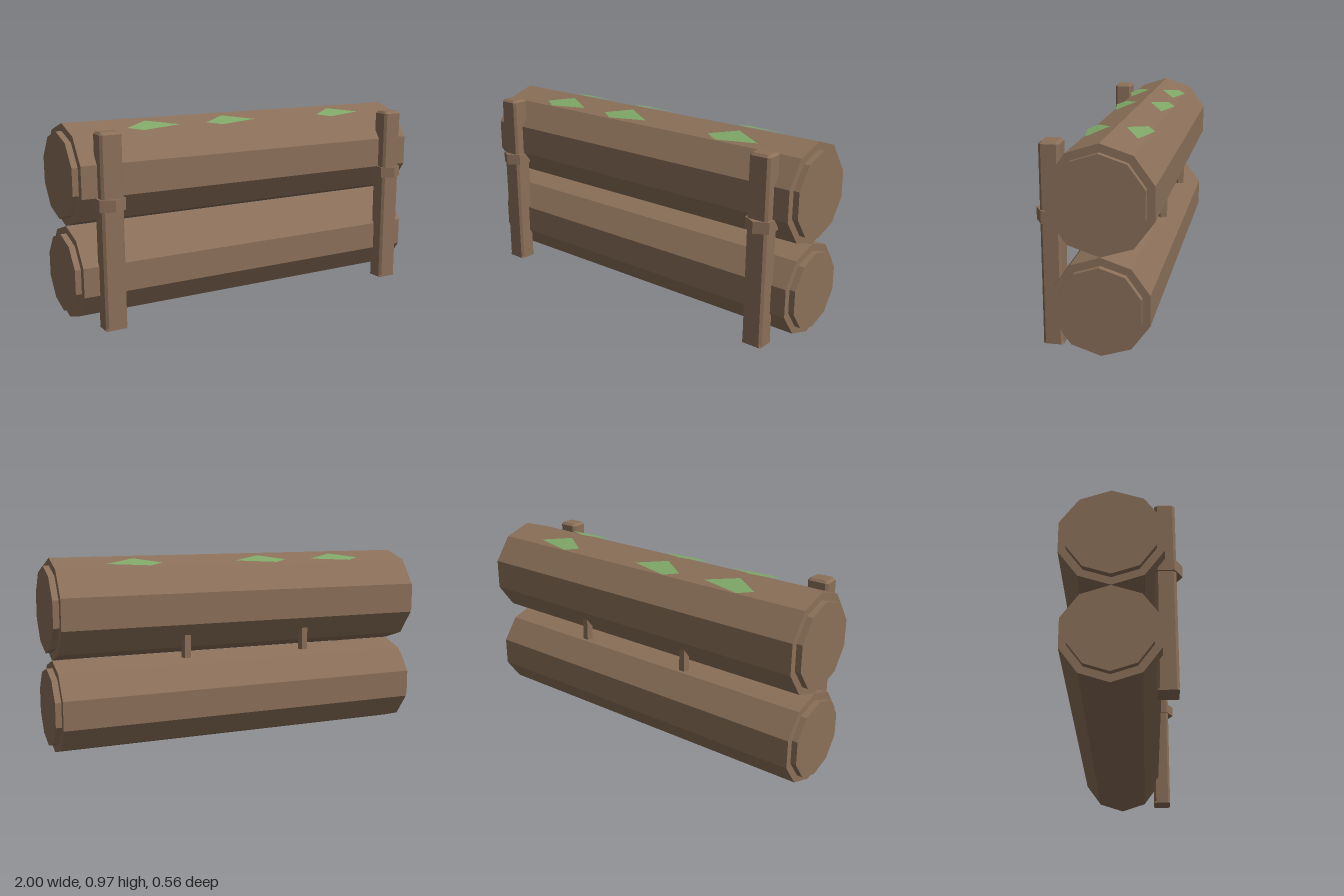
import * as THREE from 'three';

const wood = new THREE.MeshStandardMaterial({ color: 0x8b7059 });
wood.name = 'wood';
const leafGreen = new THREE.MeshStandardMaterial({ color: 0x80a868, side: THREE.DoubleSide });
leafGreen.name = 'leaf green';

// Faceted normals for a low-poly look
function facet(geometry) {
  const flat = geometry.index ? geometry.toNonIndexed() : geometry;
  flat.computeVertexNormals();
  return flat;
}

function addMesh(parent, name, geometry, material, x = 0, y = 0, z = 0) {
  const mesh = new THREE.Mesh(facet(geometry), material);
  mesh.name = name;
  mesh.position.set(x, y, z);
  parent.add(mesh);
  return mesh;
}

// Ten-sided bar lying along x with a ridge on top
function logBar(radius, length) {
  return new THREE.CylinderGeometry(radius, radius, length, 10)
    .rotateY(Math.PI / 2)
    .rotateZ(Math.PI / 2);
}

// Upright post with chamfered corners, a bevelled top and a square foot
function postGeometry(width, depth, height, bevel) {
  const w = width / 2, d = depth / 2, c = bevel;
  const outline = new THREE.Shape([
    [w, c - d], [w, d - c], [w - c, d], [c - w, d],
    [-w, d - c], [-w, c - d], [c - w, -d], [w - c, -d],
  ].map(([x, y]) => new THREE.Vector2(x, y)));
  const geometry = new THREE.ExtrudeGeometry(outline, {
    depth: height - 2 * bevel, bevelEnabled: true, bevelSegments: 1,
    bevelSize: bevel, bevelThickness: bevel, bevelOffset: -bevel,
  });
  geometry.translate(0, 0, bevel).rotateX(-Math.PI / 2);
  const p = geometry.attributes.position;
  for (let i = 0; i < p.count; i++) {
    if (p.getY(i) < bevel / 2) {
      p.setX(i, p.getX(i) * w / (w - bevel));
      p.setZ(i, p.getZ(i) * d / (d - bevel));
    }
  }
  return geometry;
}

// Kite-shaped leaf lying on one slope beside the ridge; side is +1 front, -1 back
function leafGeometry(side) {
  const corners = [[-0.13, 0.12], [-0.06, 0.162], [0.155, 0.12], [0, 0.04]]
    .map(([x, d]) => [x, -0.24 * d, side * d]);
  const order = side > 0 ? [0, 1, 2, 0, 2, 3] : [0, 2, 1, 0, 3, 2];
  const geometry = new THREE.BufferGeometry();
  geometry.setAttribute('position',
    new THREE.Float32BufferAttribute(order.flatMap((i) => corners[i]), 3));
  return geometry;
}

export function createModel() {
  const model = new THREE.Group();
  model.name = 'logFence';
  const logZ = -0.04;

  // Two stacked logs, each with a narrower core showing at the ends
  for (const [name, y, bark, core] of [
    ['lowerLog', 0.234, 0.233, 0.196],
    ['upperLog', 0.72, 0.252, 0.214],
  ]) {
    const log = new THREE.Group();
    log.name = name;
    log.position.set(0, y, logZ);
    addMesh(log, name + 'Bark', logBar(bark, 1.94), wood);
    addMesh(log, name + 'Core', logBar(core, 2), wood);
    model.add(log);
  }

  // Front posts with a hexagonal band around each
  for (const side of [-1, 1]) {
    const label = side > 0 ? 'left' : 'right';
    addMesh(model, label + 'Post', postGeometry(0.11, 0.095, 0.952, 0.012), wood, side * 0.836, 0, 0.203);
    addMesh(model, label + 'PostBand', new THREE.CylinderGeometry(0.076, 0.076, 0.058, 6),
      wood, side * 0.836, 0.612, 0.204);
    // Short pegs under the back of the upper log
    addMesh(model, label + 'Peg', new THREE.CylinderGeometry(0.026, 0.026, 0.15, 5),
      wood, side * 0.33, 0.543, -0.216);
  }

  // Leaves along both sides of the top ridge
  for (const x of [-0.555, -0.12, 0.562]) {
    for (const side of [1, -1]) {
      addMesh(model, side > 0 ? 'frontLeaf' : 'backLeaf', leafGeometry(side), leafGreen, x, 0.9715, logZ);
    }
  }
  return model;
}
